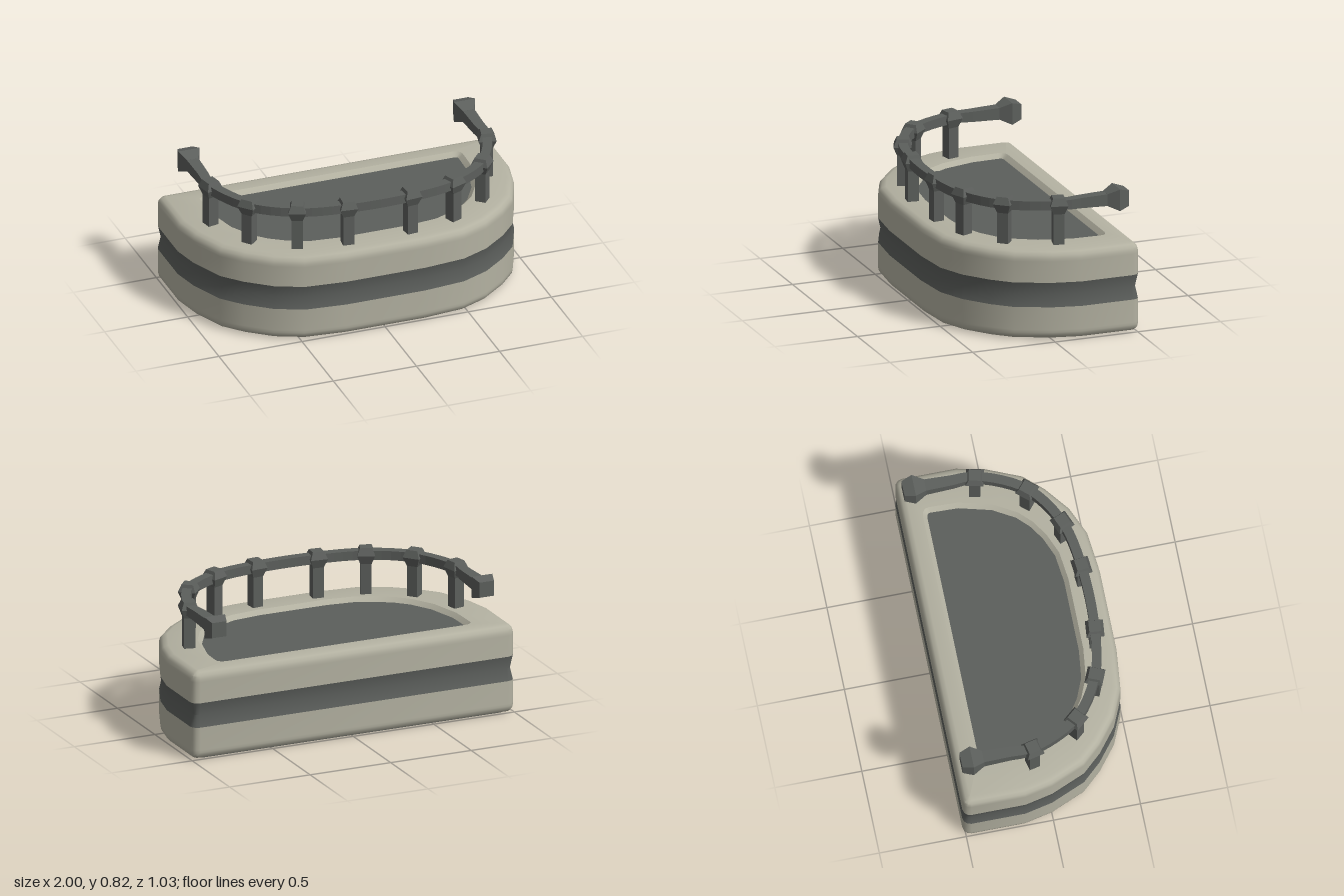
import * as THREE from 'three';
import { toCreasedNormals } from 'three/addons/utils/BufferGeometryUtils.js';

const stone = new THREE.MeshStandardMaterial({ name: 'paleStone', color: 0xb3b1a1 });
const metal = new THREE.MeshStandardMaterial({ name: 'darkGrey', color: 0x5c5f5c });

// Joins rings of points (clockwise about the direction of travel) into a skin
function loft(rings, { startCap = false, endCap = false, crease = 0 } = {}) {
  const pos = [];
  const tri = (...pts) => pts.forEach((p) => pos.push(p.x, p.y, p.z));
  const n = rings[0].length;
  for (let i = 0; i < rings.length - 1; i++) {
    for (let j = 0; j < n; j++) {
      const k = (j + 1) % n;
      const a = rings[i][j], b = rings[i][k], c = rings[i + 1][k], d = rings[i + 1][j];
      tri(a, d, b);
      tri(b, d, c);
    }
  }
  const cap = (ring, flip) => {
    const mid = ring.reduce((s, p) => s.add(p), new THREE.Vector3()).divideScalar(n);
    ring.forEach((p, j) => {
      const q = ring[(j + 1) % n];
      if (flip) tri(mid, q, p);
      else tri(mid, p, q);
    });
  };
  if (startCap) cap(rings[0], false);
  if (endCap) cap(rings[rings.length - 1], true);
  const geo = new THREE.BufferGeometry();
  geo.setAttribute('position', new THREE.Float32BufferAttribute(pos, 3));
  geo.computeVertexNormals();
  return crease ? toCreasedNormals(geo, crease) : geo;
}

// Mirrors a half outline of [x, z] points, back corner first
const mirrored = (half) => [...half, ...half.slice().reverse().map(([x, z]) => [-x, z])];

// Shrinks a closed outline by d and lifts it to height y
function ringAt(outline, d, y) {
  const n = outline.length;
  return outline.map(([x, z], i) => {
    const p = outline[(i + n - 1) % n], q = outline[(i + 1) % n];
    const n1 = new THREE.Vector2(z - p[1], p[0] - x).normalize();
    const n2 = new THREE.Vector2(q[1] - z, x - q[0]).normalize();
    const m = n1.clone().add(n2).divideScalar(1 + n1.dot(n2));
    return new THREE.Vector3(x - m.x * d, y, z - m.y * d);
  });
}

// Square-ish section at a point, facing along direction t
function section(center, t, halfWidth, halfHeight, up = new THREE.Vector3(0, 1, 0)) {
  const s = new THREE.Vector3().crossVectors(t, up).normalize();
  return [[1, -1], [1, 1], [-1, 1], [-1, -1]].map(([a, b]) =>
    center.clone().addScaledVector(s, a * halfWidth).addScaledVector(up, b * halfHeight));
}

export function createModel() {
  const group = new THREE.Group();
  const add = (name, geo, mat, parent = group) => {
    const mesh = new THREE.Mesh(geo, mat);
    mesh.name = name;
    parent.add(mesh);
    return mesh;
  };

  // Outer D outline and the matching outline of the sunken floor
  const outer = mirrored([
    [0.955, -0.515], [0.978, -0.509], [0.994, -0.493], [1, -0.47], [1, -0.16], [0.965, 0],
    [0.88, 0.2], [0.78, 0.31], [0.64, 0.42], [0.48, 0.49], [0.24, 0.515],
  ]);
  const inner = mirrored([
    [0.74, -0.4], [0.765, -0.395], [0.785, -0.38], [0.79, -0.355], [0.785, -0.19], [0.735, 0],
    [0.66, 0.13], [0.59, 0.2], [0.5, 0.26], [0.38, 0.31], [0.21, 0.33],
  ]);
  const rings = (levels) => levels.map(([d, y]) => ringAt(outer, d, y));
  const crease = 0.62;

  // Two stone slabs with rounded edges and a dark notched band between them
  add('lowerSlab', loft([
    ringAt(inner, 0.02, 0.015), ringAt(inner, 0, 0.004),
    ...rings([[0.045, 0.004], [0.02, 0.01], [0.005, 0.025], [0, 0.045], [0, 0.06], [0, 0.195]]),
  ], { crease }), stone);
  add('notchedBand', loft(rings([[0, 0.195], [0.016, 0.267], [0, 0.34]]), { crease }), metal);
  add('upperSlab', loft([
    ...rings([[0, 0.34], [0, 0.465], [0, 0.48], [0.005, 0.5], [0.02, 0.517], [0.045, 0.525]]),
    ringAt(inner, 0, 0.525), ringAt(inner, 0.025, 0.5),
  ], { crease }), stone);

  // Floor and underside panels
  add('floorPanel', loft([ringAt(inner, 0.025, 0.5)], { endCap: true }), metal);
  add('undersidePanel', loft([ringAt(inner, 0.02, 0.015)], { startCap: true }), metal);
  const strip = add('undersideBackStrip', new THREE.BoxGeometry(1.86, 0.006, 0.08), metal);
  strip.position.set(0, 0.003, -0.435);

  // Handrail swept along a curve, thickening towards its back ends
  const railing = new THREE.Group();
  railing.name = 'railing';
  group.add(railing);
  const railY = 0.755;
  const postSpots = mirrored([[0.83, -0.085], [0.7, 0.19], [0.47, 0.345], [0.19, 0.4]]);
  const path = [[0.83, -0.38], [0.83, -0.22], ...postSpots, [-0.83, -0.22], [-0.83, -0.38]];
  const curve = new THREE.CatmullRomCurve3(path.map(([x, z]) => new THREE.Vector3(x, railY, z)));
  const railRings = [];
  for (let i = 0; i <= 48; i++) {
    const p = curve.getPointAt(i / 48);
    const grow = 0.008 * THREE.MathUtils.clamp((-0.1 - p.z) / 0.28, 0, 1);
    railRings.push(section(p, curve.getTangentAt(i / 48), 0.027 + grow, 0.027 + grow));
  }
  add('handrail', loft(railRings, { startCap: true, endCap: true }), metal, railing);

  // Flared knobs on the rail ends
  const back = new THREE.Vector3(0, 0, -1);
  const knob = loft([[-0.37, 0.035], [-0.435, 0.064], [-0.497, 0.045]].map(([z, h]) =>
    section(new THREE.Vector3(0, railY, z), back, h, h)), { startCap: true, endCap: true });
  for (const side of [1, -1]) {
    add(side > 0 ? 'leftRailKnob' : 'rightRailKnob', knob, metal, railing).position.x = side * 0.83;
  }

  // Square posts with faceted caps, turned to follow the rail
  const rise = new THREE.Vector3(0, 1, 0);
  const post = loft([[0.49, 0.032], [0.705, 0.032], [0.757, 0.051], [0.8, 0.034]].map(([y, h]) =>
    section(new THREE.Vector3(0, y, 0), rise, h, h, new THREE.Vector3(0, 0, 1))), { endCap: true });
  postSpots.forEach(([x, z], i) => {
    const t = curve.getTangent((i + 2) / (path.length - 1));
    const mesh = add('railPost', post, metal, railing);
    mesh.position.set(x, 0, z);
    mesh.rotation.y = Math.atan2(t.x, t.z);
  });

  return group;
}
